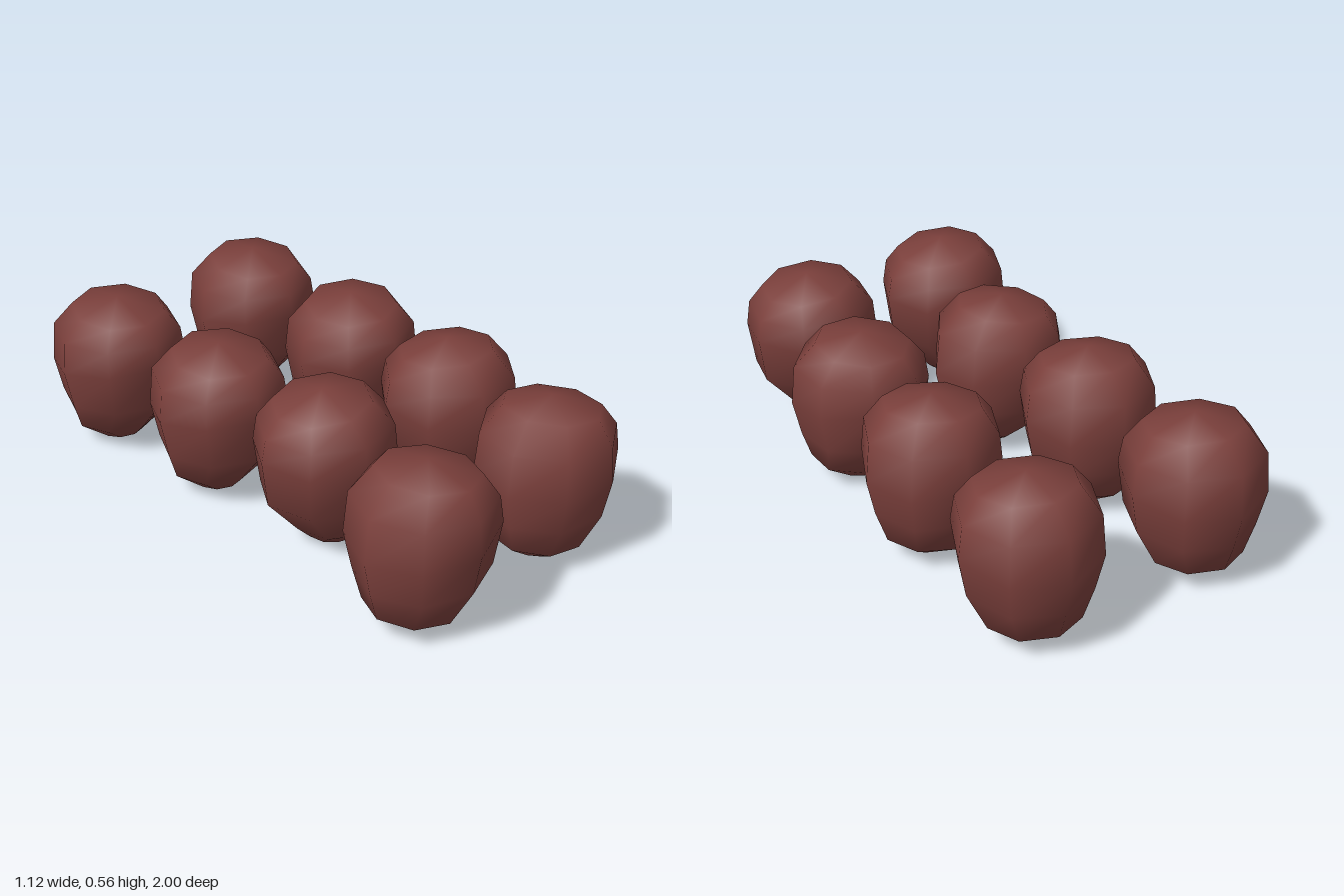
import * as THREE from 'three';

const SIDES = 8;

// Rings from bottom to top: [y at steep side, y at slanted side, x of steep side, x of slanted side, half depth]
const RINGS = [
  [0.00, 0.02, -0.08, 0.06, 0.07],
  [0.08, 0.07, -0.19, 0.11, 0.16],
  [0.18, 0.20, -0.22, 0.22, 0.21],
  [0.30, 0.36, -0.245, 0.24, 0.237],
  [0.45, 0.44, -0.23, 0.225, 0.225],
  [0.54, 0.505, -0.15, 0.175, 0.165],
];

// A lopsided stone: steep on -x, slanting inward on +x
function stoneGeometry() {
  const pos = [], index = [];
  for (const [ya, yb, xa, xb, depth] of RINGS) {
    for (let i = 0; i < SIDES; i++) {
      const a = (i / SIDES) * Math.PI * 2;
      const t = (1 + Math.cos(a)) / 2;
      pos.push(xa + (xb - xa) * t, ya + (yb - ya) * t, depth * Math.sin(a));
    }
  }
  const bottom = pos.length / 3, top = bottom + 1;
  pos.push(-0.01, 0.005, 0, 0.01, 0.562, 0);
  const last = (RINGS.length - 1) * SIDES;
  for (let i = 0; i < SIDES; i++) {
    const j = (i + 1) % SIDES;
    for (let r = 0; r < last; r += SIDES) {
      index.push(r + i, r + SIDES + i, r + j, r + j, r + SIDES + i, r + SIDES + j);
    }
    index.push(bottom, i, j, top, last + j, last + i);
  }
  const geo = new THREE.BufferGeometry();
  geo.setAttribute('position', new THREE.Float32BufferAttribute(pos, 3));
  geo.setIndex(index);
  geo.computeVertexNormals();
  return geo;
}

export function createModel() {
  const group = new THREE.Group();
  group.name = 'stoneRows';
  const geo = stoneGeometry();
  const mat = new THREE.MeshStandardMaterial({ color: 0x7a3f3b });
  const q = Math.PI / 2;

  // Two columns of four stones, each turned differently: [x, z, yaw]
  const places = [
    [-0.32, 0.76, 0], [0.245, 0.76, 0.2],
    [-0.24, 0.24, 2 * q - 0.15], [0.305, 0.27, q + 0.47],
    [-0.285, -0.24, -q - 0.08], [0.315, -0.22, -q - 0.8],
    [-0.32, -0.76, -q], [0.305, -0.755, -q - 0.03],
  ];
  places.forEach(([x, z, yaw], i) => {
    const stone = new THREE.Mesh(geo, mat);
    stone.name = `stone${i + 1}`;
    stone.position.set(x, 0, z);
    stone.rotation.y = yaw;
    group.add(stone);
  });
  return group;
}
